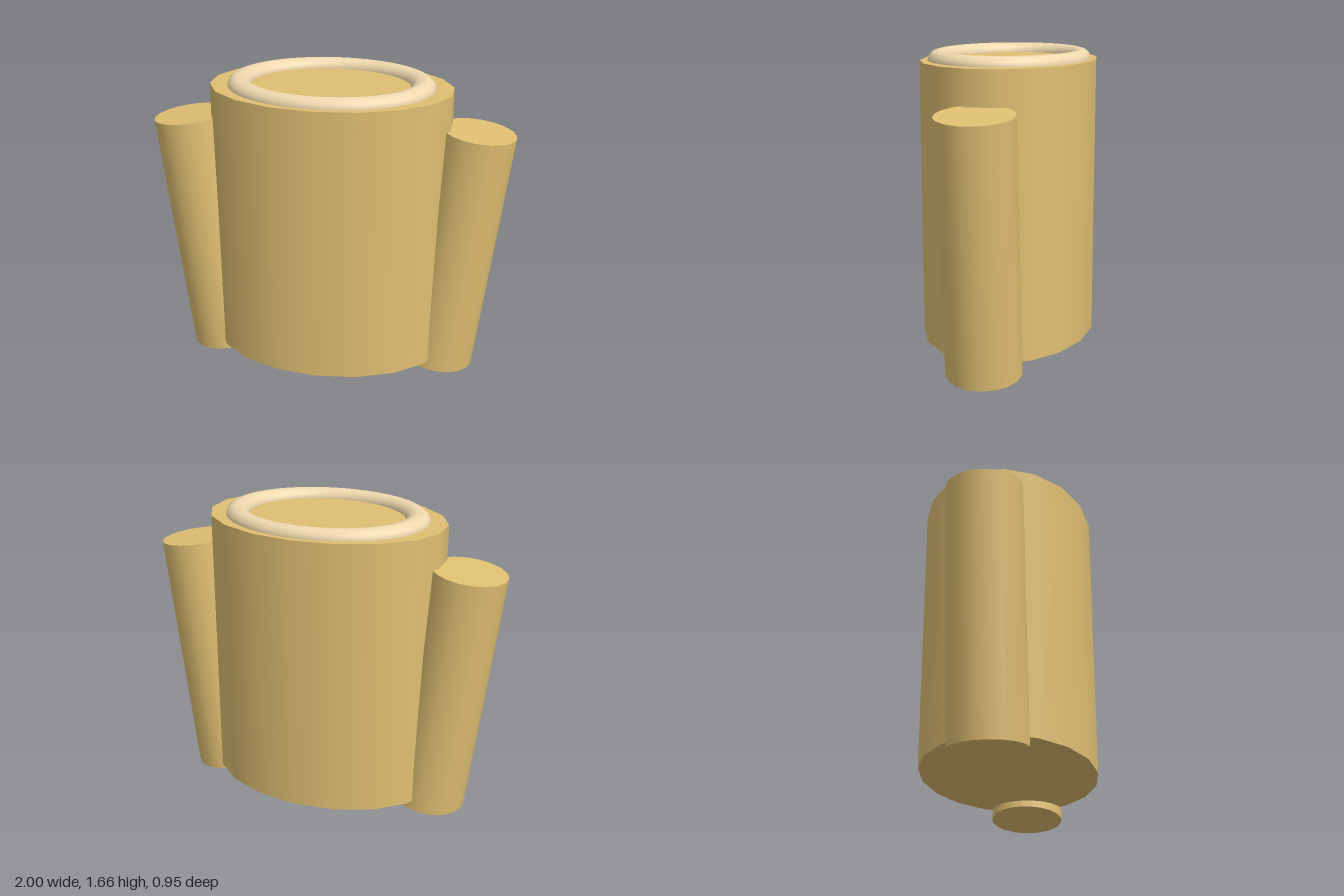
import * as THREE from 'three';

export function createModel() {
  const model = new THREE.Group();
  const tan = new THREE.MeshStandardMaterial({ color: 0xe0bf72 });
  const cream = new THREE.MeshStandardMaterial({ color: 0xf0d9ae });

  const add = (name, geometry, material) => {
    const mesh = new THREE.Mesh(geometry, material);
    mesh.name = name;
    model.add(mesh);
    return mesh;
  };

  // Oval torso
  const torso = add('torso', new THREE.CylinderGeometry(1, 1, 1.525, 18), tan);
  torso.scale.set(0.663, 1, 0.476);
  torso.position.y = 0.09 + 1.525 / 2;

  // Oval collar, half sunk into the top of the torso
  const collar = new THREE.TorusGeometry(0.4975, 0.0675, 12, 48).rotateX(Math.PI / 2);
  const collarMesh = add('collar', collar, cream);
  collarMesh.scale.set(1, 0.8, 0.78);
  collarMesh.position.y = 1.613;

  // Arms leaning outward at the top
  for (const side of [1, -1]) {
    const arm = add(side > 0 ? 'leftArm' : 'rightArm',
      new THREE.CylinderGeometry(0.204, 0.204, 1.388, 18), tan);
    arm.position.set(side * 0.715, 0.718, 0);
    arm.rotation.z = -side * 0.122;
  }

  return model;
}
